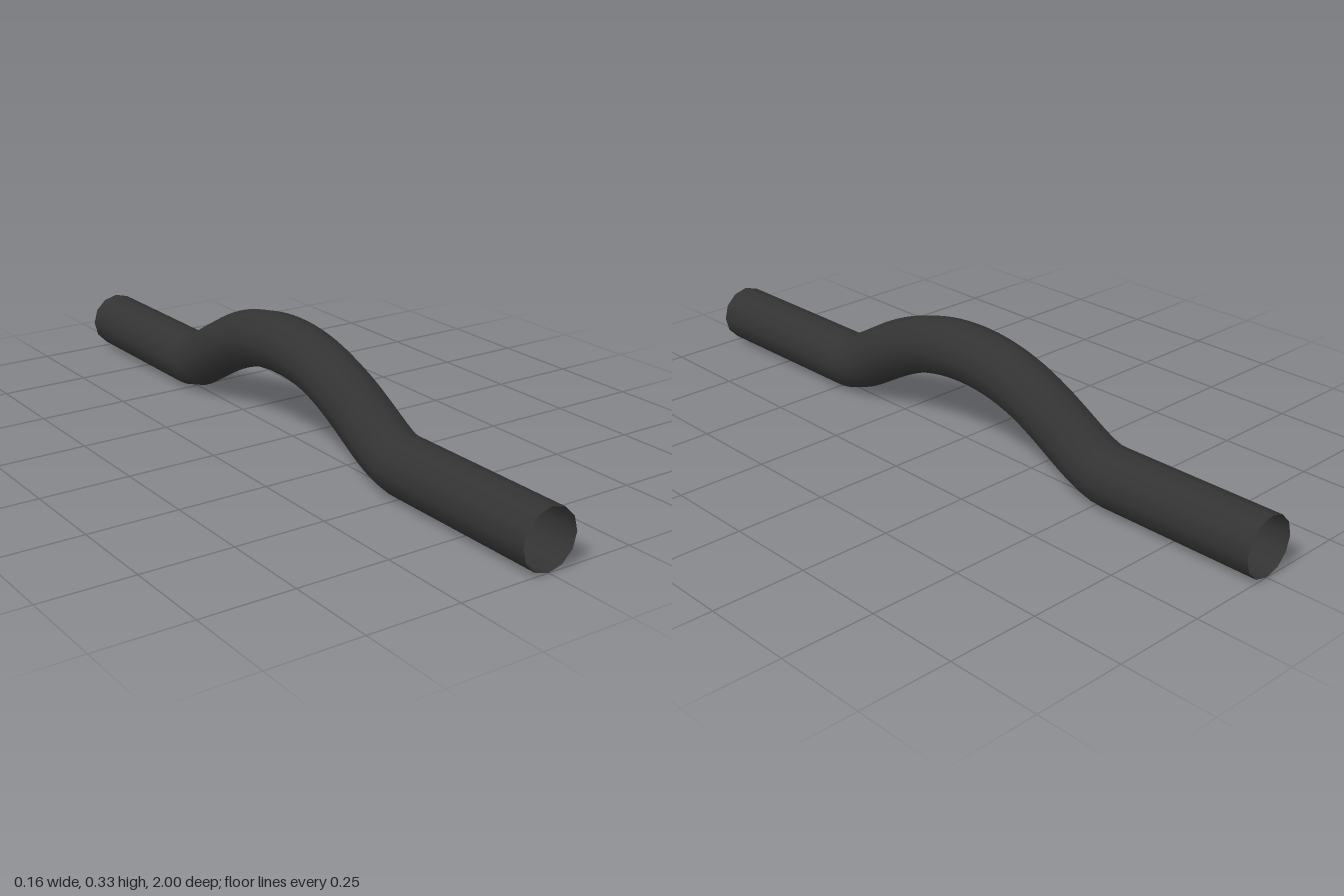
import * as THREE from 'three';

export function createModel() {
  const group = new THREE.Group();
  group.name = 'bentPipe';

  const radius = 0.08, low = 0.08, high = 0.253;
  const mid = -0.02, half = 0.51; // arch centre and half width along z
  const p = (y, z) => new THREE.Vector3(0, y, z);

  // Centre line: straight end, S-bend up, S-bend down, straight end
  const path = new THREE.CurvePath();
  path.add(new THREE.LineCurve3(p(low, 1), p(low, mid + half)));
  path.add(new THREE.CubicBezierCurve3(
    p(low, mid + half), p(low, mid + half - 0.11), p(high, mid + 0.275), p(high, mid)));
  path.add(new THREE.CubicBezierCurve3(
    p(high, mid), p(high, mid - 0.275), p(low, mid - half + 0.11), p(low, mid - half)));
  path.add(new THREE.LineCurve3(p(low, mid - half), p(low, -1)));

  // Twelve-sided pipe, open at both ends
  const pipe = new THREE.Mesh(
    new THREE.TubeGeometry(path, 80, radius, 12, false),
    new THREE.MeshStandardMaterial({ color: 0x333333, side: THREE.DoubleSide }));
  pipe.name = 'pipe';
  group.add(pipe);
  return group;
}
